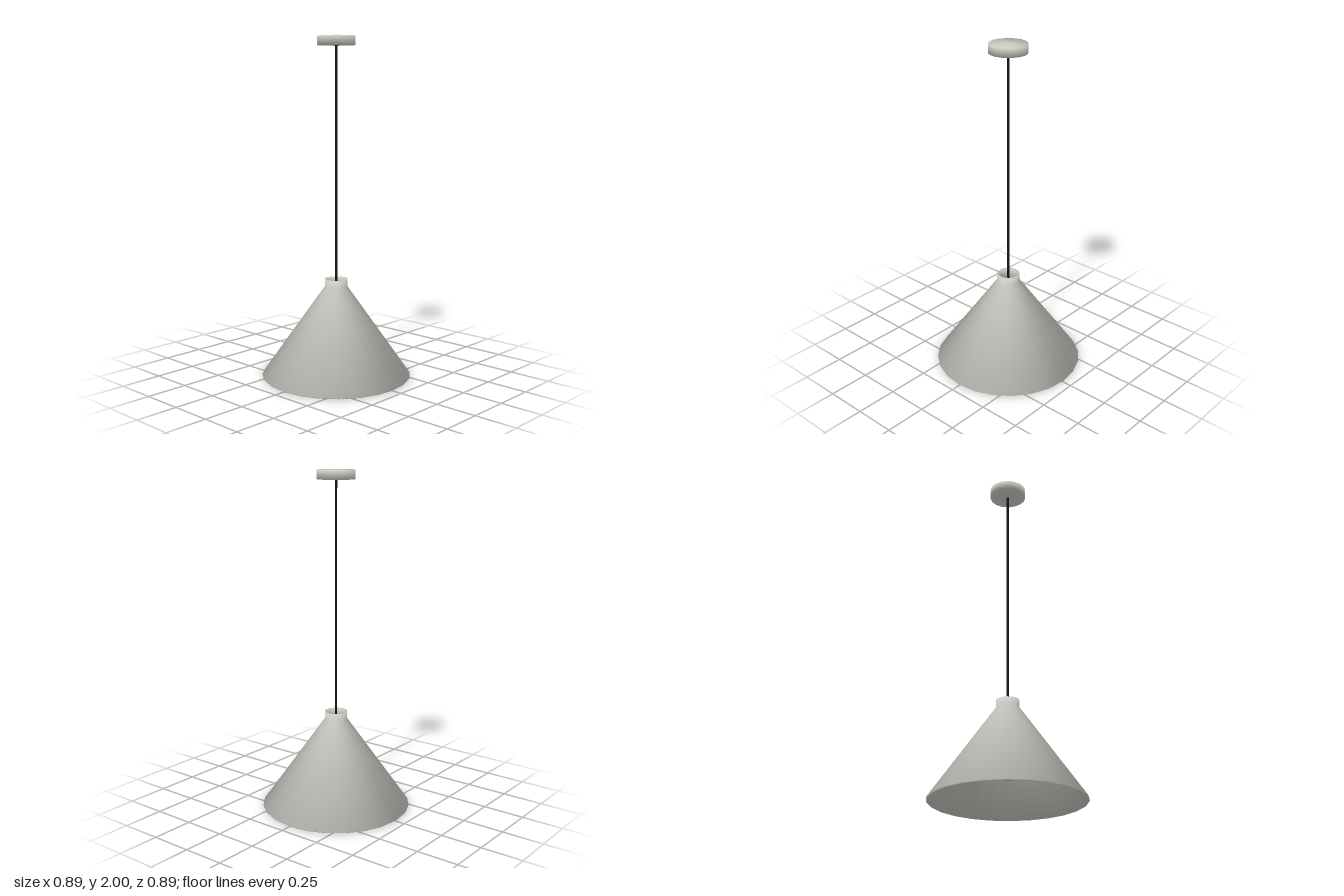
import * as THREE from 'three';

// Revolve a [radius, height] profile, listed bottom to top for outward faces.
// Each corner's normal is the even average of its two neighbouring faces,
// so shading rolls softly over the edges. A closed profile repeats its first point.
function revolve(name, profile, sides, material) {
  const points = profile.map(([r, y]) => new THREE.Vector2(r, y));
  const last = points.length - 1;
  const closed = points[0].equals(points[last]);
  const faces = points.slice(1).map((p, i) =>
    new THREE.Vector2(p.y - points[i].y, points[i].x - p.x).normalize());
  const corners = points.map((_, i) => {
    const before = faces[i > 0 ? i - 1 : closed ? last - 1 : 0];
    const after = faces[i < last ? i : closed ? 0 : last - 1];
    return before.clone().add(after).normalize();
  });

  const geometry = new THREE.LatheGeometry(points, sides);
  const normals = geometry.attributes.normal;
  for (let s = 0; s <= sides; s++) {
    const angle = (s / sides) * Math.PI * 2;
    corners.forEach((n, j) => normals.setXYZ(
      s * points.length + j, n.x * Math.sin(angle), n.y, n.x * Math.cos(angle)));
  }
  const mesh = new THREE.Mesh(geometry, material);
  mesh.name = name;
  return mesh;
}

export function createModel() {
  const enamel = new THREE.MeshStandardMaterial({ color: 0xcbcac3 });
  enamel.name = 'warm grey enamel';
  const black = new THREE.MeshStandardMaterial({ color: 0x15151a });
  black.name = 'black cord';

  const model = new THREE.Group();
  model.name = 'pendantLamp';

  // Conical shade: a thin closed shell with an open neck and a slanted lower lip
  model.add(revolve('shade', [
    [0.443, 0.006], [0.067, 0.54], [0.067, 0.585],
    [0.057, 0.585], [0.057, 0.537], [0.435, 0], [0.443, 0.006],
  ], 24, enamel));

  // Ceiling canopy
  model.add(revolve('ceilingCanopy', [[0, 1.948], [0.11, 1.948], [0.11, 2], [0, 2]], 16, enamel));

  // Six-sided cord from the canopy through the neck to the bulb
  const top = 1.96, bottom = 0.23;
  const cord = new THREE.Mesh(
    new THREE.CylinderGeometry(0.007, 0.007, top - bottom, 6, 1, false, Math.PI / 2), black);
  cord.name = 'cord';
  cord.position.y = (top + bottom) / 2;
  model.add(cord);

  // Round bulb
  const bulb = new THREE.Mesh(new THREE.SphereGeometry(0.064, 16, 12), enamel);
  bulb.name = 'bulb';
  bulb.position.y = 0.18;
  model.add(bulb);

  return model;
}
